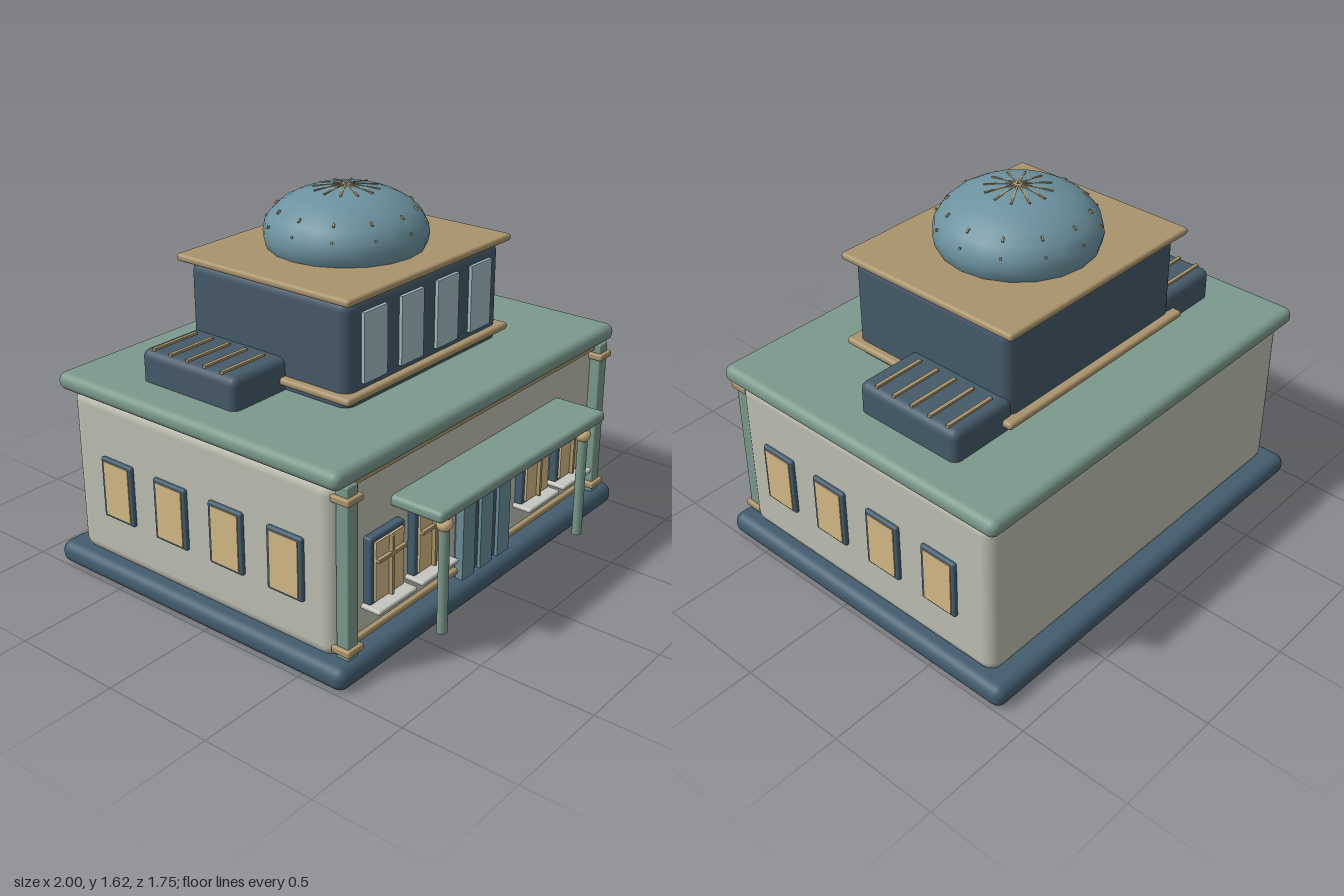
import * as THREE from 'three';
import { RoundedBoxGeometry } from 'three/addons/geometries/RoundedBoxGeometry.js';

const mat = (color) => new THREE.MeshStandardMaterial({ color });
const navy = mat(0x425c6e), slate = mat(0x455a69), sage = mat(0x7b998c), tan = mat(0xa9946c);
const wall = mat(0xbdbfb1), amber = mat(0xd4b985), domeBlue = mat(0x6c929f);
const doorBlue = mat(0x6a8c98), paleGlass = mat(0xa0bcc2), stone = mat(0xc4c6be);

const CZ = -0.08; // depth centre of the main building

export function createModel() {
  const model = new THREE.Group();
  model.name = 'domedBuilding';

  const add = (name, geometry, material, parent = model) => {
    const mesh = new THREE.Mesh(geometry, material);
    mesh.name = name;
    parent.add(mesh);
    return mesh;
  };
  // Box given by its extents; a radius rounds the edges
  const box = (name, x0, x1, y0, y1, z0, z1, material, r = 0, parent = model) => {
    const size = [x1 - x0, y1 - y0, z1 - z0];
    const g = r ? new RoundedBoxGeometry(...size, 4, r) : new THREE.BoxGeometry(...size);
    g.translate((x0 + x1) / 2, (y0 + y1) / 2, (z0 + z1) / 2);
    return add(name, g, material, parent);
  };

  // Main storey
  box('base', -1, 1, 0, 0.1, -0.877, 0.717, navy, 0.045);
  box('walls', -0.94, 0.94, 0.08, 0.835, -0.79, 0.63, wall, 0.06);
  box('mainRoof', -0.977, 0.977, 0.822, 0.9, -0.83, 0.68, sage, 0.036);
  box('lowerTrim', -0.87, 0.87, 0.12, 0.147, 0.6, 0.65, tan, 0.008);
  box('upperTrim', -0.87, 0.87, 0.797, 0.824, 0.6, 0.65, tan, 0.008);

  // Corner pilasters with tan bands
  for (const s of [-1, 1]) {
    const x = s * 0.885;
    box('pilaster', x - 0.031, x + 0.031, 0.09, 0.83, 0.62, 0.68, sage, 0.008);
    for (const y of [0.12, 0.757])
      box('pilasterBand', x - 0.046, x + 0.046, y, y + 0.03, 0.605, 0.695, tan, 0.008);
  }

  // Front windows
  for (const x of [-0.658, -0.383, 0.383, 0.658]) {
    const win = new THREE.Group();
    win.name = 'frontWindow';
    model.add(win);
    box('windowFrame', x - 0.106, x + 0.106, 0.26, 0.55, 0.61, 0.665, navy, 0.01, win);
    box('windowPane', x - 0.086, x + 0.086, 0.275, 0.53, 0.65, 0.675, amber, 0, win);
    box('verticalBar', x - 0.007, x + 0.007, 0.275, 0.53, 0.66, 0.692, tan, 0, win);
    box('crossBar', x - 0.086, x + 0.086, 0.448, 0.462, 0.66, 0.692, tan, 0, win);
    box('windowSill', x - 0.12, x + 0.12, 0.243, 0.263, 0.62, 0.72, stone, 0.008, win);
  }

  // Side windows
  for (const s of [-1, 1])
    for (const z of [0.4, 0.093, -0.213, -0.52]) {
      const win = new THREE.Group();
      win.name = 'sideWindow';
      model.add(win);
      const side = (name, inner, outer, w, y0, y1, m, r) =>
        box(name, Math.min(s * inner, s * outer), Math.max(s * inner, s * outer),
          y0, y1, z - w, z + w, m, r, win);
      side('windowFrame', 0.92, 0.957, 0.09, 0.298, 0.572, navy, 0.01);
      side('windowPane', 0.93, 0.961, 0.072, 0.312, 0.558, amber, 0);
    }

  // Entrance
  box('doorSurround', -0.168, 0.168, 0.09, 0.542, 0.6, 0.66, slate, 0.025);
  for (const x of [-0.128, 0, 0.128])
    box('doorPanel', x - 0.043, x + 0.043, 0.1, 0.508, 0.64, 0.675, doorBlue);

  // Porch canopy on two slim posts with round capitals
  box('canopy', -0.598, 0.598, 0.605, 0.655, 0.6, 0.868, sage, 0.02);
  for (const s of [-1, 1]) {
    const post = add('porchPost', new THREE.CylinderGeometry(0.022, 0.022, 0.53, 16), sage);
    post.position.set(s * 0.505, 0.345, 0.815);
    const knob = add('postCapital', new THREE.SphereGeometry(0.033, 20, 14), amber);
    knob.position.set(s * 0.505, 0.56, 0.815);
  }

  // Upper storey
  box('upperStorey', -0.517, 0.517, 0.86, 1.34, -0.495, 0.35, slate, 0.05);
  box('upperBaseTrim', -0.55, 0.55, 0.928, 0.96, -0.533, 0.383, tan, 0.014);
  box('upperRoofSlab', -0.55, 0.55, 1.333, 1.365, -0.533, 0.383, tan, 0.014);
  for (const x of [-0.357, -0.12, 0.12, 0.357])
    box('upperWindow', x - 0.073, x + 0.073, 0.985, 1.28, 0.33, 0.365, paleGlass);

  // Slatted side blocks on the roof
  for (const s of [-1, 1]) {
    const x = s * 0.645;
    box('sideBlock', x - 0.165, x + 0.165, 0.87, 1.037, -0.49, 0.03, slate, 0.035);
    for (let i = 0; i < 5; i++) {
      const z = -0.432 + i * 0.0945;
      box('slat', s * 0.67 - 0.12, s * 0.67 + 0.12, 1.03, 1.046, z - 0.008, z + 0.008, tan);
    }
  }

  // Dome: a squashed sphere sunk into the roof slab
  const R = 0.35, H = 0.198, Y = 1.42;
  const dome = add('dome', new THREE.SphereGeometry(1, 20, 14), domeBlue);
  dome.scale.set(R, H, R);
  dome.position.set(0, Y, CZ);

  // Crown rays and small studs repeated around the dome
  const studs = new THREE.Group();
  studs.name = 'domeOrnament';
  studs.position.set(0, Y, CZ);
  model.add(studs);
  const height = (r) => H * Math.sqrt(1 - (r / R) ** 2);
  for (let i = 0; i < 12; i++) {
    const rib = new THREE.Group();
    rib.name = 'domeRib';
    rib.rotation.y = (i * Math.PI) / 6;
    studs.add(rib);
    // each piece lies along the meridian between two radii
    for (const [name, r0, r1] of [['crownRay', 0.005, 0.14], ['stud', 0.285, 0.3], ['stud', 0.337, 0.341]]) {
      const y0 = height(r0), y1 = height(r1);
      const piece = add(name, new THREE.BoxGeometry(Math.hypot(r1 - r0, y1 - y0), 0.01, 0.008), tan, rib);
      piece.position.set((r0 + r1) / 2, (y0 + y1) / 2, 0);
      piece.rotation.z = Math.atan2(y1 - y0, r1 - r0);
    }
  }

  return model;
}
